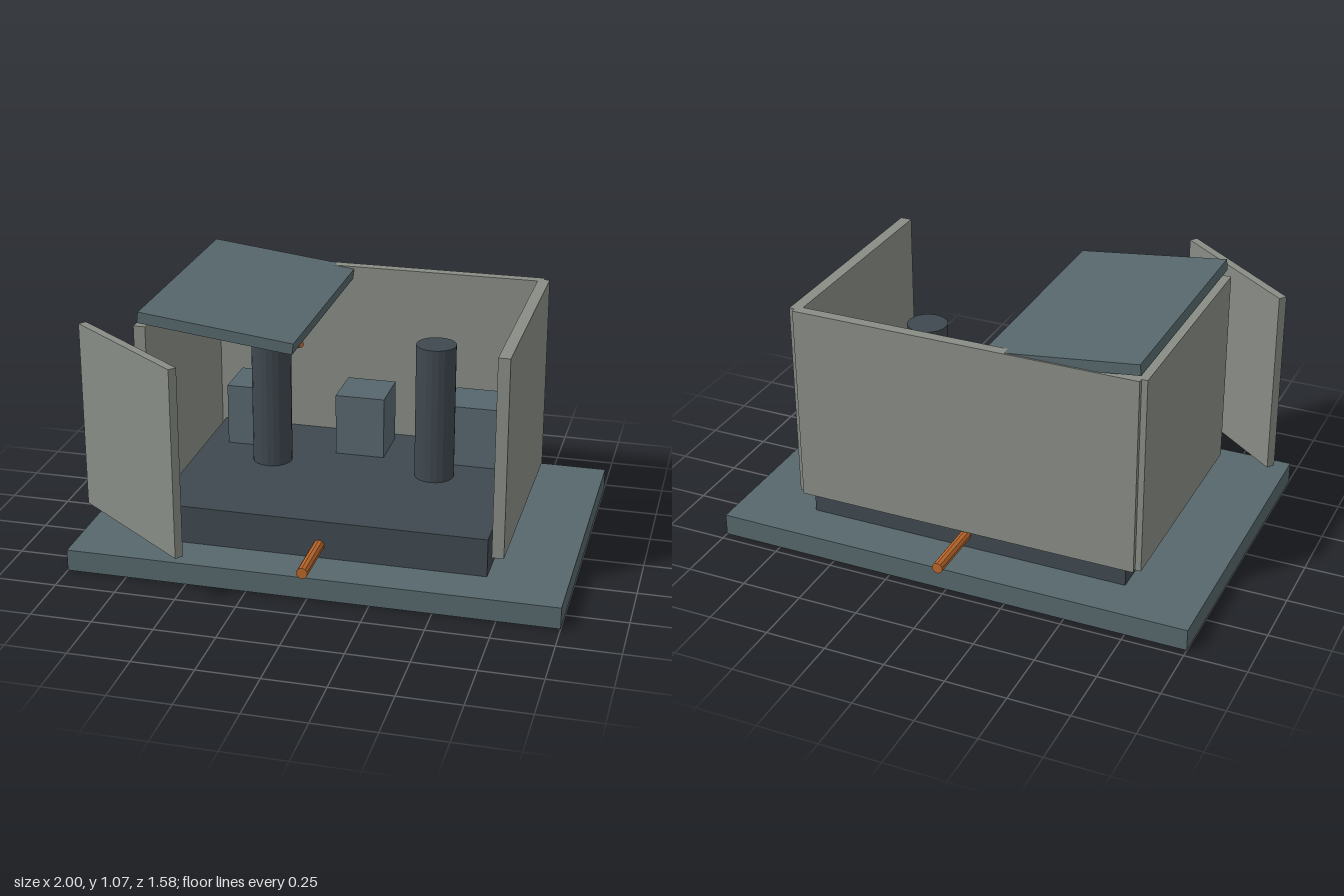
import * as THREE from 'three';

const mat = (color) => new THREE.MeshStandardMaterial({ color, flatShading: true });

export function createModel() {
  const model = new THREE.Group();
  const slate = mat(0x56676b), dark = mat(0x3f484f), panel = mat(0x888c85);
  const block = mat(0x56666e), copper = mat(0xb8652a);

  const add = (name, geometry, material, x, y, z) => {
    const mesh = new THREE.Mesh(geometry, material);
    mesh.name = name;
    mesh.position.set(x, y, z);
    model.add(mesh);
    return mesh;
  };
  // Box given by its low and high corner
  const box = (name, material, a, b) => add(name,
    new THREE.BoxGeometry(b[0] - a[0], b[1] - a[1], b[2] - a[2]), material,
    (a[0] + b[0]) / 2, (a[1] + b[1]) / 2, (a[2] + b[2]) / 2);
  // Round bar between two points
  const bar = (name, material, a, b, radius, sides) => {
    const from = new THREE.Vector3(...a), to = new THREE.Vector3(...b);
    const dir = to.clone().sub(from), mid = from.clone().add(to).multiplyScalar(0.5);
    const mesh = add(name, new THREE.CylinderGeometry(radius, radius, dir.length(), sides),
      material, mid.x, mid.y, mid.z);
    mesh.quaternion.setFromUnitVectors(new THREE.Vector3(0, 1, 0), dir.normalize());
    return mesh;
  };

  // Ground slab, raised plinth and the rod passing through it
  box('groundSlab', slate, [-1, 0, -0.715], [1, 0.09, 0.615]);
  box('plinth', dark, [-0.68, 0.09, -0.53], [0.68, 0.25, 0.43]);
  bar('throughRod', copper, [0, 0.145, -0.79], [0, 0.145, 0.685], 0.023, 10);

  // Housing walls
  box('backWall', panel, [-0.72, 0.175, -0.555], [0.72, 1.005, -0.51]);
  for (const [name, x] of [['leftWall', 0.72], ['rightWall', -0.72]])
    box(name, panel, [x - 0.024, 0.175, -0.535], [x + 0.024, 1.005, 0.43]);

  // Two columns and three blocks on the plinth
  for (const [name, x] of [['leftColumn', 0.35], ['rightColumn', -0.35]])
    bar(name, dark, [x, 0.25, -0.125], [x, 0.83, -0.125], 0.083, 20);
  for (const x of [-0.48, 0, 0.48])
    box('block', block, [x - 0.105, 0.25, -0.465], [x + 0.105, 0.515, -0.245]);

  // Short rod sticking out of the right column
  bar('columnRod', copper, [-0.32, 0.775, -0.075], [-0.185, 0.832, 0.01], 0.016, 10);

  // Tilted partial roof
  const roof = add('roofPanel', new THREE.BoxGeometry(0.63, 0.045, 0.995), slate, -0.407, 1.01, -0.05);
  roof.rotation.z = -0.12;

  // Detached door leaf standing ajar
  const door = add('doorPanel', new THREE.BoxGeometry(0.648, 0.78, 0.035), panel, -0.722, 0.59, 0.576);
  door.rotation.y = -0.66;

  return model;
}
